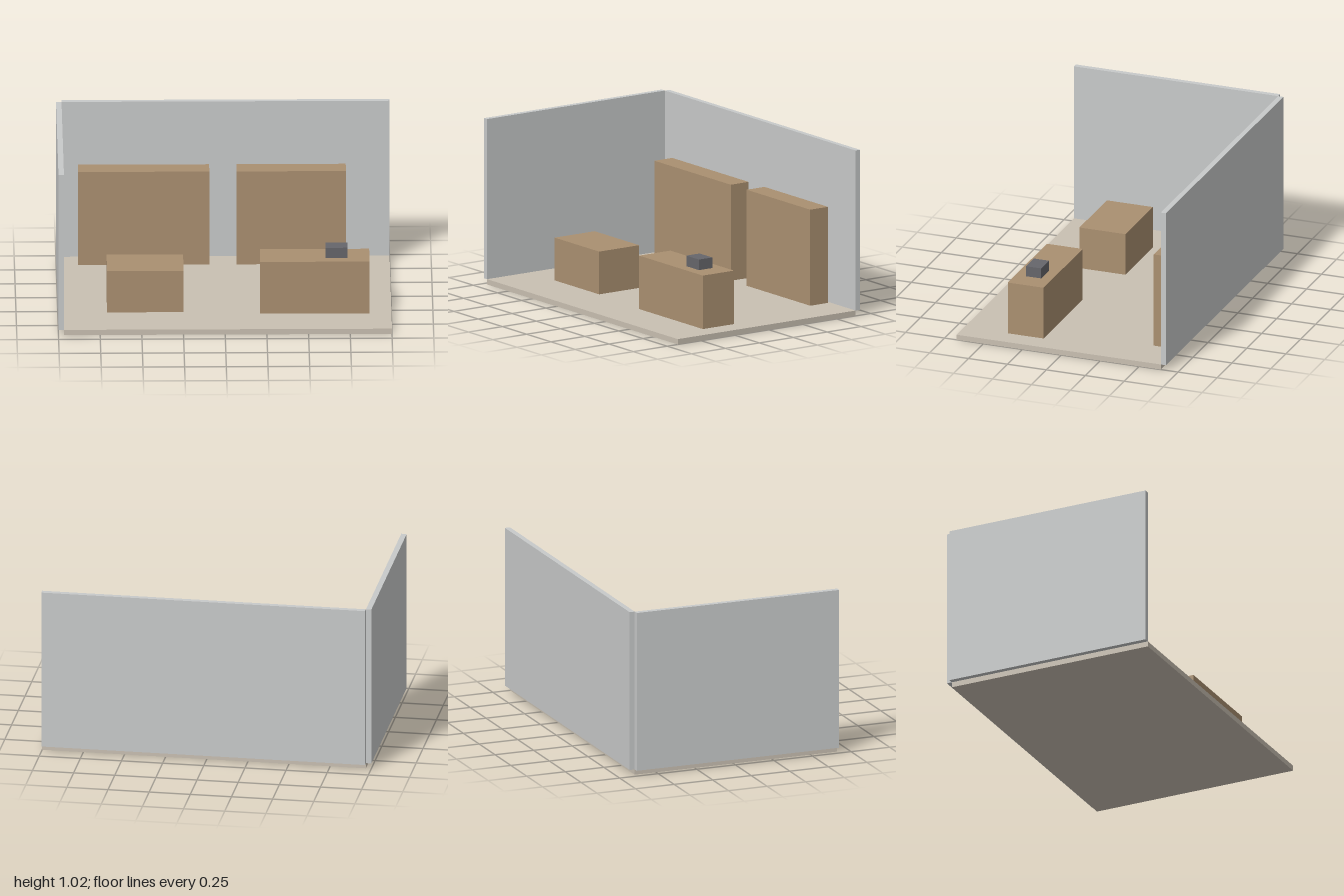
import * as THREE from 'three';

const material = (name, color) => {
  const m = new THREE.MeshStandardMaterial({ color });
  m.name = name;
  return m;
};

export function createModel() {
  const wall = material('pale grey wall', 0xc8caca);
  const stone = material('beige floor', 0xc9c0b2);
  const wood = material('wood', 0xaa9071);
  const dark = material('dark grey', 0x66666b);

  const group = new THREE.Group();
  group.name = 'shopRoom';

  // Box given by its extents on each axis
  const box = (name, mat, [x0, x1], [y0, y1], [z0, z1]) => {
    const mesh = new THREE.Mesh(new THREE.BoxGeometry(x1 - x0, y1 - y0, z1 - z0), mat);
    mesh.position.set((x0 + x1) / 2, (y0 + y1) / 2, (z0 + z1) / 2);
    mesh.name = name;
    group.add(mesh);
  };

  const floorTop = 0.033, wallTop = 1.018, counterTop = 0.362;

  // Room shell: the walls stand just outside the floor slab
  box('floor', stone, [-0.967, 1], [0, floorTop], [-0.639, 0.672]);
  box('backWall', wall, [-0.967, 1], [floorTop, wallTop], [-0.672, -0.639]);
  box('sideWall', wall, [-1, -0.967], [floorTop, wallTop], [-0.639, 0.672]);

  // Shelves along the back wall
  box('wideShelf', wood, [-0.869, -0.082], [floorTop, 0.624], [-0.623, -0.492]);
  box('narrowShelf', wood, [0.082, 0.737], [floorTop, 0.624], [-0.623, -0.492]);

  // Display table, counter and till
  box('displayTable', wood, [-0.705, -0.246], [floorTop, 0.296], [0.066, 0.361]);
  box('counter', wood, [0.213, 0.869], [floorTop, counterTop], [0.164, 0.394]);
  box('till', dark, [0.606, 0.737], [counterTop, 0.427], [0.23, 0.328]);

  return group;
}
